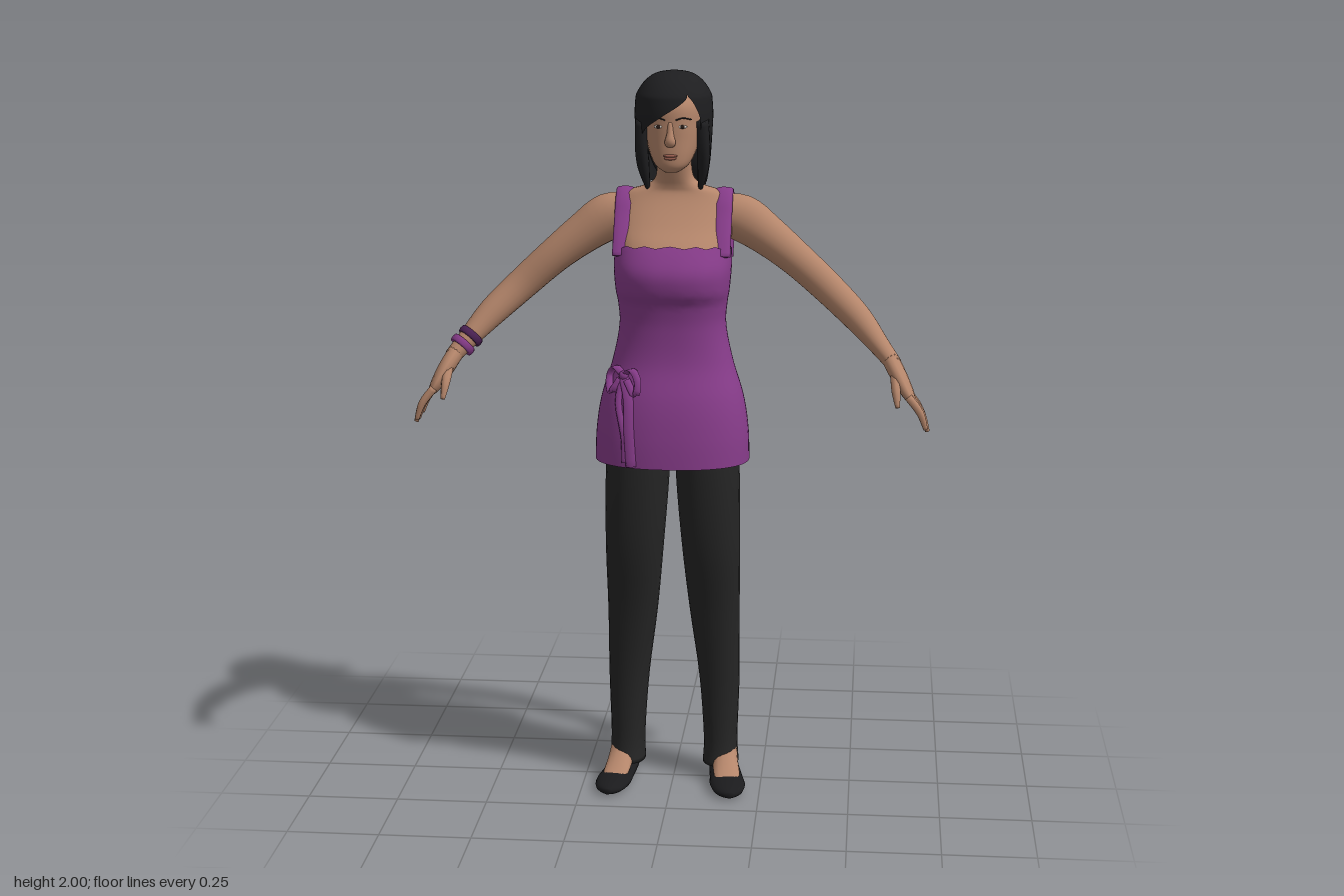
import * as THREE from 'three';

const mat = (name, color, side = THREE.FrontSide) => {
  const m = new THREE.MeshStandardMaterial({ color, side });
  m.name = name;
  return m;
};
const V = (x, y, z) => new THREE.Vector3(x, y, z);

// Catmull-Rom blend of numeric rows, so a few stations give a smooth form
function sample(rows, t) {
  const n = rows.length - 1, f = Math.min(Math.max(t, 0), 1) * n, i = Math.min(Math.floor(f), n - 1), k = f - i;
  const [p0, p1, p2, p3] = [-1, 0, 1, 2].map(d => rows[Math.min(Math.max(i + d, 0), n)]);
  return p1.map((b, c) => {
    const m1 = (p2[c] - p0[c]) / 2, m2 = (p3[c] - b) / 2, d = p2[c] - b;
    return b + k * (m1 + k * (3 * d - 2 * m1 - m2 + k * (m1 + m2 - 2 * d)));
  });
}
const smooth = (rows, per) => Array.from({ length: (rows.length - 1) * per + 1 },
  (_, i) => sample(rows, i / ((rows.length - 1) * per)));

// Skin over rows of points; closed rings may be capped
function skinRows(rows, closed = true, cap = closed) {
  const n = rows[0].length, pos = [], idx = [], w = closed ? n : n - 1;
  rows.forEach(r => r.forEach(p => pos.push(p.x, p.y, p.z)));
  for (let i = 0; i < rows.length - 1; i++) for (let j = 0; j < w; j++) {
    const a = i * n + j, b = i * n + (j + 1) % n;
    idx.push(a, b, a + n, b, b + n, a + n);
  }
  if (cap) [0, rows.length - 1].forEach((r, top) => {
    const c = rows[r].reduce((s, p) => s.add(p), V(0, 0, 0)).divideScalar(n), ci = pos.length / 3;
    pos.push(c.x, c.y, c.z);
    for (let j = 0; j < n; j++) {
      const a = r * n + j, b = r * n + (j + 1) % n;
      top ? idx.push(ci, a, b) : idx.push(ci, b, a);
    }
  });
  const g = new THREE.BufferGeometry();
  g.setAttribute('position', new THREE.Float32BufferAttribute(pos, 3));
  g.setIndex(idx);
  g.computeVertexNormals();
  return g;
}

// Point on a level super-ellipse; angle 0 faces the front
const pow = (s, e) => Math.sign(s) * Math.abs(s) ** (2 / e);
const ringPoint = ([y, x, zf, zb, hw], a, e) =>
  V(x + hw * pow(Math.sin(a), e), y, (zf + zb) / 2 + (zf - zb) / 2 * pow(Math.cos(a), e));
const ring = (row, e = 2, n = 28) => Array.from({ length: n }, (_, j) => ringPoint(row, j / n * Math.PI * 2, e));
const upright = (rows, e, per = 4) => skinRows(smooth(rows, per).map(r => ring(r, e)));

// Station of a profile at a given height
function at(profile, y) {
  let i = 0;
  while (i < profile.length - 2 && profile[i + 1][0] < y) i++;
  const r = sample(profile, (i + (y - profile[i][0]) / (profile[i + 1][0] - profile[i][0])) / (profile.length - 1));
  r[0] = y;
  return r;
}
// Front (s = 1) or back (s = -1) depth of a profile
function depth(profile, x, y, e, s = 1) {
  const [, , zf, zb, hw] = at(profile, y), q = Math.min(Math.abs(x) / hw, 1);
  return (zf + zb) / 2 + s * (zf - zb) / 2 * (1 - q ** e) ** (1 / e);
}

// Tube along stations [x, y, z, ru, rv]; ru lies towards ref
function limb(stations, ref = V(0, 0, 1), n = 14, per = 4, cap = true) {
  const st = smooth(stations, per), p = st.map(s => V(s[0], s[1], s[2]));
  return skinRows(st.map((s, i) => {
    const t = p[Math.min(i + 1, p.length - 1)].clone().sub(p[Math.max(i - 1, 0)]).normalize();
    const u = ref.clone().addScaledVector(t, -ref.dot(t)).normalize(), v = t.clone().cross(u);
    return Array.from({ length: n }, (_, j) => {
      const a = j / n * Math.PI * 2;
      return p[i].clone().addScaledVector(u, s[3] * Math.cos(a)).addScaledVector(v, s[4] * Math.sin(a));
    });
  }), true, cap);
}

// Profiles: [y, x, front z, back z, half width]
const TORSO = [
  [0.945, 0, 0.18, -0.115, 0.205], [1.03, 0, 0.175, -0.11, 0.202], [1.12, 0, 0.16, -0.1, 0.188],
  [1.22, 0, 0.13, -0.08, 0.158], [1.32, 0, 0.125, -0.078, 0.139], [1.385, 0, 0.135, -0.083, 0.143],
  [1.41, 0, 0.152, -0.088, 0.148], [1.47, 0, 0.156, -0.1, 0.153], [1.53, 0, 0.12, -0.112, 0.153],
  [1.58, 0, 0.07, -0.113, 0.16], [1.63, 0, 0.03, -0.11, 0.157], [1.667, 0, 0.008, -0.1, 0.137],
  [1.687, 0, 0.008, -0.088, 0.08], [1.715, 0, 0.018, -0.075, 0.05], [1.79, 0, 0.045, -0.06, 0.046]];
const HEAD = [
  [1.735, 0, 0.092, 0.04, 0.02], [1.752, 0, 0.104, 0, 0.044], [1.78, 0, 0.107, -0.04, 0.06],
  [1.82, 0, 0.107, -0.08, 0.072], [1.86, 0, 0.108, -0.1, 0.077], [1.91, 0, 0.106, -0.1, 0.076],
  [1.95, 0, 0.075, -0.08, 0.058], [1.975, 0, 0.03, -0.04, 0.025]];
const LEG = [
  [0.045, 0.133, 0.045, -0.088, 0.051], [0.12, 0.132, 0.034, -0.09, 0.048], [0.3, 0.128, 0.04, -0.094, 0.057],
  [0.5, 0.115, 0.068, -0.085, 0.07], [0.7, 0.106, 0.112, -0.065, 0.081], [0.9, 0.097, 0.13, -0.072, 0.088],
  [1.06, 0.09, 0.13, -0.075, 0.085]];
// Hair adds the two edges of the face opening as angles
const HAIR = [
  [1.69, 0, 0, -0.13, 0.084, 1.75, -1.75], [1.75, 0, 0.055, -0.133, 0.095, 1.3, -1.3],
  [1.8, 0, 0.09, -0.133, 0.1, 0.97, -0.97], [1.84, 0, 0.11, -0.134, 0.103, 0.85, -0.8],
  [1.88, 0, 0.118, -0.134, 0.105, 0.8, -0.25], [1.92, 0, 0.117, -0.13, 0.103, 0.6, 0.3],
  [1.94, 0, 0.111, -0.124, 0.098, 0.45, 0.45], [1.97, 0, 0.083, -0.1, 0.077, 0.45, 0.45],
  [1.99, 0, 0.045, -0.065, 0.047, 0.45, 0.45], [1.998, 0, -0.008, -0.012, 0.002, 0.45, 0.45]];

export function createModel() {
  const model = new THREE.Group();
  const skin = mat('skin', 0xb5866b), purple = mat('purple cloth', 0x873c8a, THREE.DoubleSide);
  const trousers = mat('dark trousers', 0x252525), shoe = mat('black shoe', 0x1b1b1d);
  const hair = mat('black hair', 0x1e1e20, THREE.DoubleSide), band = mat('dark purple band', 0x4d2356, THREE.DoubleSide);
  const lip = mat('lips', 0x9a5f50), white = mat('eye white', 0xd8d0c8), iris = mat('dark iris', 0x2b1c16);
  const add = (name, geo, m, parent = model) => {
    const o = new THREE.Mesh(geo, m);
    o.name = name;
    parent.add(o);
    return o;
  };
  const ball = (name, m, p, s) => {
    const o = add(name, new THREE.SphereGeometry(1, 18, 12), m);
    o.position.set(...p);
    o.scale.set(...s);
    return o;
  };

  // Upper body, neck and head
  add('upperBody', upright(TORSO.slice(5), 2.3), skin);
  add('head', upright(HEAD, 2.2, 5), skin);

  // Sleeveless top with a gently scalloped upper edge
  const N = 64, R = 44, cloth = [];
  for (let i = 0; i <= R; i++) cloth.push(Array.from({ length: N }, (_, j) => {
    const a = j / N * Math.PI * 2, top = 1.525 + 0.013 * Math.cos(a) + 0.003 * Math.cos(16 * a);
    const r = at(TORSO, 0.945 + (top - 0.945) * i / R);
    return ringPoint([r[0], 0, r[2] + 0.006, r[3] - 0.006, r[4] + 0.006], a, 2.3);
  }));
  add('top', skinRows(cloth, true, false), purple);

  // Bow and hanging ribbons on the hip
  const onHip = (pts, w) => limb(pts.map(([x, y, o = 0]) => [x, y, depth(TORSO, x, y, 2.3) + 0.012 + o, w, 0.004]),
    V(1, 0.2, 0), 8);
  add('longRibbon', onHip([[-0.125, 1.19], [-0.11, 1.13], [-0.107, 1.05], [-0.1, 0.95]], 0.014), purple);
  add('shortRibbon', onHip([[-0.125, 1.19], [-0.138, 1.12], [-0.12, 1.03], [-0.118, 0.96]], 0.009), purple);
  for (const s of [-1, 1]) add('bowLoop', onHip([[-0.125, 1.19], [-0.125 + s * 0.025, 1.208, 0.012],
    [-0.125 + s * 0.042, 1.18, 0.02], [-0.125 + s * 0.035, 1.145, 0.015], [-0.125 + s * 0.01, 1.18, 0.006]], 0.01), purple);
  ball('bowKnot', purple, [-0.125, 1.19, depth(TORSO, -0.125, 1.19, 2.3) + 0.014], [0.013, 0.013, 0.01]);

  // Hips between the trouser legs
  ball('hips', trousers, [0, 1.03, 0.03], [0.17, 0.085, 0.1]);

  for (const s of [1, -1]) {
    // Shoulder strap, front to back
    const face = (y, f) => [s * 0.135, y, depth(TORSO, 0.135, y, 2.3, f) + f * 0.006, 0.024, 0.006];
    add('strap', limb([face(1.51, 1), face(1.56, 1), face(1.61, 1), face(1.65, 1), [s * 0.135, 1.676, -0.045, 0.024, 0.006],
      face(1.65, -1), face(1.6, -1), face(1.55, -1), face(1.49, -1)], V(1, 0, 0), 10), purple);

    // Arm, palm, fingers and thumb
    const hand = new THREE.Group();
    hand.name = 'hand';
    model.add(hand);
    const out = pts => pts.map(([x, ...r]) => [s * x, ...r]);
    add('arm', limb(out([[0.11, 1.612, -0.05, 0.05, 0.05], [0.18, 1.597, -0.05, 0.055, 0.064],
      [0.25, 1.552, -0.046, 0.052, 0.056], [0.33, 1.49, -0.037, 0.045, 0.048], [0.42, 1.41, -0.03, 0.041, 0.044],
      [0.5, 1.336, 0.003, 0.039, 0.039], [0.56, 1.27, 0.045, 0.031, 0.028], [0.6, 1.225, 0.075, 0.029, 0.022]]),
      V(0, 0, 1), 20), skin);
    add('palm', limb(out([[0.59, 1.237, 0.067, 0.028, 0.023], [0.615, 1.195, 0.095, 0.04, 0.022],
      [0.638, 1.155, 0.112, 0.043, 0.017], [0.65, 1.135, 0.116, 0.036, 0.011]])), skin, hand);
    for (let i = 0; i < 4; i++) {
      const z = 0.083 + i * 0.021, l = [0.82, 0.96, 1, 0.9][i];
      add('finger', limb(out([[0.64, 1.15, z, 0.011, 0.011], [0.64 + 0.035 * l, 1.15 - 0.045 * l, z + 0.006, 0.01, 0.01],
        [0.64 + 0.053 * l, 1.15 - 0.096 * l, z + 0.004, 0.006, 0.006]]), V(0, 0, 1), 8), skin, hand);
    }
    add('thumb', limb(out([[0.605, 1.2, 0.11, 0.014, 0.014], [0.607, 1.165, 0.148, 0.012, 0.012],
      [0.612, 1.125, 0.167, 0.006, 0.006]]), V(1, 0, 0), 8), skin, hand);

    // Trouser leg, instep and flat shoe
    add('trouserLeg', upright(LEG.map(([y, x, ...r]) => [y, s * x, ...r]), 2.2), trousers);
    const foot = new THREE.Group();
    foot.name = 'foot';
    foot.position.x = s * 0.146;
    foot.rotation.y = s * 0.14;
    model.add(foot);
    add('instep', limb([[0, 0.1, -0.04, 0.036, 0.042], [0, 0.06, 0.015, 0.036, 0.03],
      [0, 0.036, 0.075, 0.036, 0.014], [0, 0.026, 0.11, 0.028, 0.008]], V(1, 0, 0)), skin, foot);
    add('shoe', limb([[0, 0.03, -0.083, 0.014, 0.018], [0, 0.028, -0.07, 0.034, 0.027], [0, 0.024, -0.02, 0.042, 0.024],
      [0, 0.021, 0.05, 0.046, 0.021], [0, 0.019, 0.11, 0.049, 0.019], [0, 0.016, 0.16, 0.036, 0.015],
      [0, 0.014, 0.182, 0.01, 0.008]], V(1, 0, 0), 18), shoe, foot);

    // Eye, brow, ear and side lock
    const faceZ = (x, y) => depth(HEAD, x, y, 2.2);
    ball('eyeWhite', white, [s * 0.033, 1.857, faceZ(0.033, 1.857)], [0.012, 0.0045, 0.003]).rotation.y = s * 0.3;
    ball('iris', iris, [s * 0.032, 1.857, faceZ(0.032, 1.857) + 0.002], [0.006, 0.005, 0.003]);
    const brow = [0.014, 0.034, 0.054].map((x, i) => [s * x, 1.875 + [0, 0.005, 0][i], faceZ(x, 1.877), 0.002, 0.002]);
    add('brow', limb(brow, V(0, 0, 1), 6), hair);
    ball('ear', skin, [s * 0.079, 1.845, -0.005], [0.01, 0.03, 0.018]);
    add('sideLock', limb(out([[0.08, 1.87, 0.05, 0.025, 0.018], [0.083, 1.8, 0.035, 0.03, 0.018],
      [0.08, 1.74, 0.01, 0.028, 0.016], [0.07, 1.675, -0.015, 0.006, 0.005]]), V(0, 0, 1), 10), hair);
  }

  // Nose and mouth
  add('nose', limb([[0, 1.868, 0.102, 0.007, 0.007], [0, 1.84, 0.108, 0.009, 0.01], [0, 1.818, 0.112, 0.015, 0.012],
    [0, 1.808, 0.106, 0.012, 0.007]], V(1, 0, 0), 12), skin);
  ball('upperLip', lip, [0, 1.781, 0.107], [0.02, 0.004, 0.005]);
  ball('lowerLip', lip, [0, 1.774, 0.106], [0.017, 0.0045, 0.005]);

  // Hair shell with a side-swept fringe
  add('hairCap', skinRows(smooth(HAIR, 5).map(r => Array.from({ length: 49 }, (_, j) => {
    const a = r[5] + (Math.PI * 2 + r[6] - r[5]) * j / 48;
    return ringPoint(r, a, 2.1);
  })), false), hair);

  // Loose hair down the back, ending in pointed strands
  add('backHair', upright([[1.6, 0.022, -0.135, -0.165, 0.022], [1.64, 0.022, -0.108, -0.168, 0.044],
    [1.69, 0.018, -0.075, -0.157, 0.062], [1.75, 0.01, -0.03, -0.142, 0.08], [1.83, 0, 0, -0.132, 0.09]], 2), hair);
  for (let i = 0; i < 7; i++) {
    const x = 0.022 + (i - 3) * 0.013, y = 1.575 + Math.abs(i - 3) * 0.012 + (i % 2) * 0.012;
    add('hairStrand', limb([[x, y + 0.09, -0.135, 0.018, 0.012], [x, y + 0.04, -0.148, 0.014, 0.01],
      [x + (i - 3) * 0.002, y, -0.168 - (i % 2) * 0.008, 0.002, 0.002]], V(0, 0, 1), 6), hair);
  }

  // Wrist bands on the right arm
  [[0.548, 1.283, 0.037], [0.568, 1.261, 0.051]].forEach(([x, y, z], i) => add('wristBand',
    limb([[-x, y, z, 0.036, 0.034], [-x - 0.006, y - 0.007, z + 0.004, 0.038, 0.036],
      [-x - 0.012, y - 0.014, z + 0.008, 0.036, 0.034]], V(0, 0, 1), 16, 2, true), i ? purple : band));

  return model;
}
